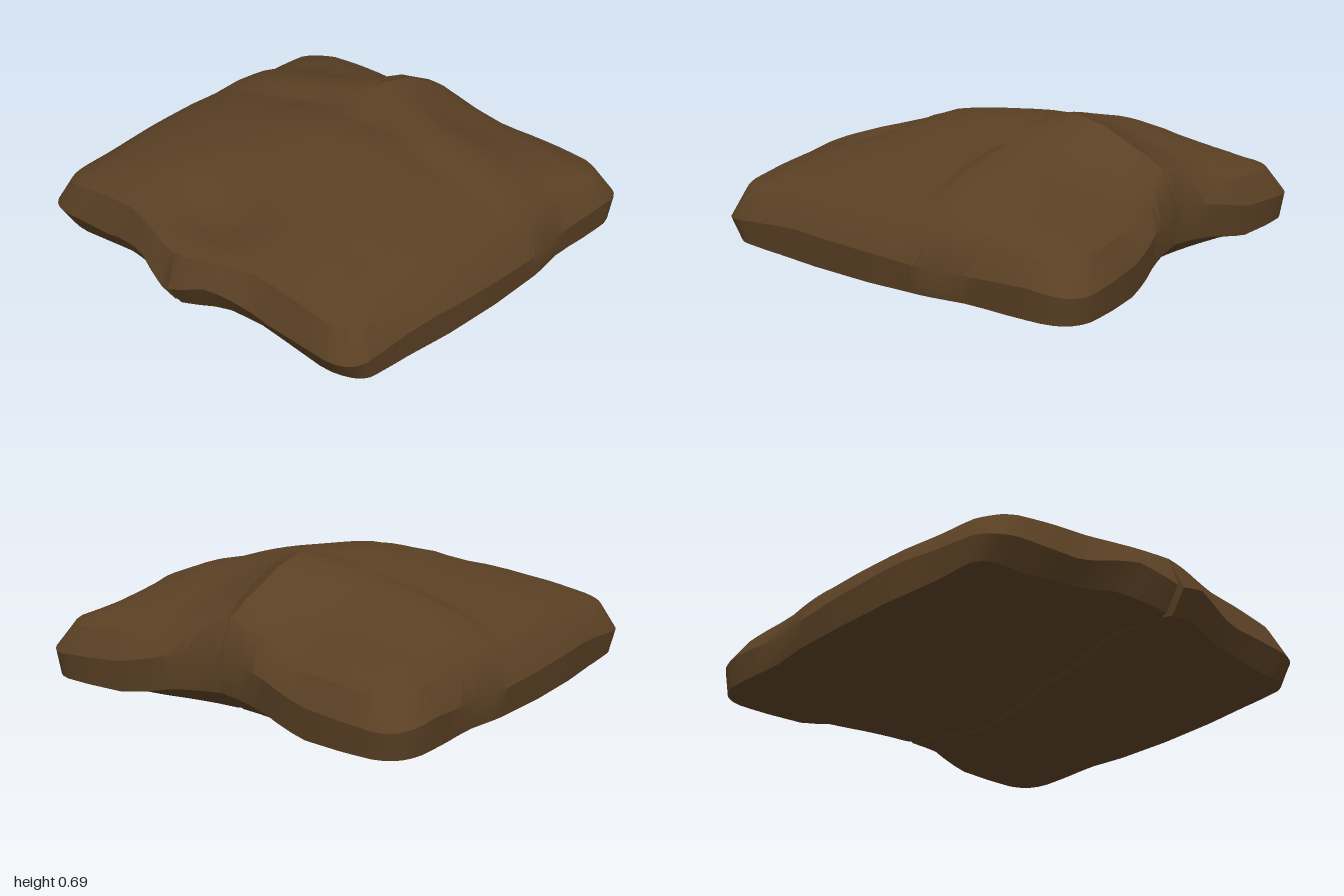
import * as THREE from 'three';
import { toCreasedNormals } from 'three/addons/utils/BufferGeometryUtils.js';

// Piecewise linear curve through [position, value] pairs
function curve(points) {
  return (p) => {
    if (p <= points[0][0]) return points[0][1];
    for (let i = 1; i < points.length; i++) {
      const [a, va] = points[i - 1], [b, vb] = points[i];
      if (p <= b) return va + (vb - va) * (p - a) / (b - a);
    }
    return points[points.length - 1][1];
  };
}
const { smoothstep, lerp } = THREE.MathUtils;
const fade = (d) => smoothstep(1 - d, 0, 1);

// Outline seen from above
const halfWidth = curve([[-1, 0.985], [-0.7, 0.98], [-0.5, 0.965], [-0.3, 0.99], [0, 0.99], [0.3, 0.975], [0.55, 0.945], [0.8, 0.93], [1, 0.93]]);
const frontZ = curve([[0, 1], [0.1, 0.98], [0.2, 0.95], [0.32, 0.915], [0.45, 0.888], [1, 0.885]]);
const backZ = curve([[0, 0.9], [0.12, 0.91], [0.25, 0.935], [0.37, 0.965], [0.5, 0.985], [0.7, 1], [1, 1]]);

// Heights along the middle, along the side edges, and the crown between them
const middle = curve([[-0.9, 0.42], [-0.85, 0.485], [-0.75, 0.56], [-0.55, 0.665], [-0.38, 0.695], [-0.24, 0.66], [-0.16, 0.605], [0, 0.63], [0.1, 0.63], [0.25, 0.615], [0.4, 0.59], [0.6, 0.535], [0.8, 0.455], [0.95, 0.4]]);
const edge = curve([[-1, 0.3], [-0.9, 0.33], [-0.8, 0.35], [-0.4, 0.37], [0.2, 0.37], [0.7, 0.36], [0.85, 0.33]]);
const frontCrown = curve([[0, 1], [0.2, 0.94], [0.4, 0.78], [0.6, 0.62], [0.8, 0.35], [0.87, 0.2], [0.93, 0]]);
const backCrown = curve([[0, 1], [0.1, 0.83], [0.2, 0.66], [0.35, 0.48], [0.6, 0.38], [0.8, 0.24], [0.93, 0]]);

// Rim heights: sides, front and back
const sideMid = curve([[-1, 0.22], [-0.8, 0.25], [-0.4, 0.23], [0, 0.25], [0.4, 0.265], [0.85, 0.23]]);
const sideLow = curve([[-1, 0.11], [-0.85, 0.115], [0, 0.115], [0.6, 0.125], [0.85, 0.14]]);
const frontMid = curve([[0, 0.25], [0.2, 0.315], [0.3, 0.305], [0.5, 0.255], [0.8, 0.24], [1, 0.23]]);
const frontLow = curve([[0, 0.15], [0.25, 0.2], [0.5, 0.165], [0.8, 0.13], [1, 0.14]]);
const backMid = curve([[0, 0.34], [0.25, 0.31], [0.5, 0.25], [1, 0.22]]);
const backLow = curve([[0, 0.18], [0.25, 0.16], [0.5, 0.11], [1, 0.11]]);
const underside = curve([[-1, 0.08], [-0.85, 0.07], [0, 0.075], [0.6, 0.1], [0.85, 0.13]]);
const belly = curve([[-0.75, 0], [-0.55, 0.02], [-0.3, 0.075], [-0.15, 0.075], [0, 0.05], [0.15, 0]]);
const slit = curve([[-0.86, 0], [-0.72, 0.8], [-0.58, 1], [-0.45, 0.7], [-0.33, 0]]);
const fold = curve([[0, 0.02], [0.1, 0.03], [0.2, 0.045], [0.3, 0.03], [0.38, 0]]);

function topHeight(x, z) {
  const ax = Math.abs(x), e = edge(z), across = ax / halfWidth(z);
  // The crown narrows to a peak towards the back
  const crown = lerp(frontCrown(across), backCrown(across), smoothstep(-z, 0.2, 0.65));
  let y = e + (middle(z) - e) * crown;
  // Dimple at the front, pinched fold across the middle, slit at the back
  y -= 0.1 * fade(Math.min(1, Math.hypot(x / 0.42, (z - 0.62) / 0.28)));
  y -= fold(ax) * Math.max(0, 1 - Math.abs(z + 0.195) / 0.045);
  if (ax < 0.003) y -= 0.12 * slit(z);
  return y;
}

function bottomHeight(x, z, s, t) {
  const ax = Math.abs(x), as = Math.abs(s);
  let y = underside(z) - belly(z) * Math.max(0, 1 - ax / 0.6);
  y += 0.07 * fade(Math.min(1, Math.hypot(x / 0.5, (z - 0.6) / 0.35)));
  if (ax < 0.003) y += 0.02;
  // Blend into the lower rim
  y = t > 0
    ? lerp(y, frontLow(as), smoothstep(t, 0.72, 1))
    : lerp(y, backLow(as), smoothstep(-t, 0.8, 1));
  return lerp(y, sideLow(z), smoothstep(as, 0.82, 1));
}

// Grid lines, closer together at the seam, the fold and the rim
const half = [0.02, 0.06, 0.12, 0.2, 0.28, 0.36, 0.44, 0.52, 0.61, 0.7, 0.79, 0.86, 0.91, 0.96, 1];
const columns = [...half.map((v) => -v).reverse(), 0, ...half];
const rows = [-1, -0.96, -0.91, -0.85, -0.78, -0.68, -0.58, -0.48, -0.4, -0.34, -0.285, -0.255, -0.22, -0.195, -0.16, -0.1,
  0, 0.1, 0.2, 0.3, 0.4, 0.48, 0.56, 0.64, 0.72, 0.8, 0.86, 0.92, 0.96, 1];

function cushionGeometry() {
  const nx = columns.length - 1, nz = rows.length - 1, r = 0.17;
  const geometry = new THREE.BoxGeometry(2, 2, 2, nx, 2, nz);
  const pos = geometry.attributes.position;
  for (let i = 0; i < pos.count; i++) {
    const level = Math.round(pos.getY(i));
    const s0 = columns[Math.round((pos.getX(i) + 1) / 2 * nx)];
    const t0 = rows[Math.round((pos.getZ(i) + 1) / 2 * nz)];
    let s = s0, t = t0;
    // Round the four corners
    const ds = Math.abs(s) - (1 - r), dt = Math.abs(t) - (1 - r);
    if (ds > 0 && dt > 0) {
      const k = Math.max(ds, dt) / Math.hypot(ds, dt);
      s = Math.sign(s) * (1 - r + ds * k);
      t = Math.sign(t) * (1 - r + dt * k);
    }
    // Upper and lower faces are inset from the widest line
    const insetX = level > 0 ? 0.93 : level < 0 ? 0.985 : 1;
    const insetZ = level > 0 ? (t > 0 ? 0.94 : 0.93) : level < 0 ? (t > 0 ? 0.93 : 0.985) : 1;
    const as = Math.abs(s);
    // Straighten the rows away from the curved ends
    const end = (t > 0 ? frontZ(as) : backZ(as)) * insetZ;
    let z = t * (1 + (end - 1) * t * t);
    let x = s * halfWidth(z) * insetX, y;
    if (Math.abs(s0) === 0.02 && level > 0) x *= 0.4 + 0.8 * slit(z);
    if (level > 0) y = topHeight(x, z);
    else if (level < 0) y = bottomHeight(x, z, s, t);
    else {
      const rim = t > 0 ? frontMid(as) : backMid(as);
      y = lerp(sideMid(z), rim, smoothstep(Math.abs(t0), 0.85, 1) * (1 - smoothstep(as, 0.8, 1)));
    }
    // Notch where the seam meets the front edge
    if (s0 === 0 && t0 === 1 && level <= 0) z -= 0.06;
    pos.setXYZ(i, x, y, z);
  }
  geometry.deleteAttribute('uv');
  return toCreasedNormals(geometry, 0.6);
}

export function createModel() {
  const group = new THREE.Group();
  group.name = 'cushion';
  const material = new THREE.MeshStandardMaterial({ color: 0x5a4024 });
  const body = new THREE.Mesh(cushionGeometry(), material);
  body.name = 'cushionBody';
  group.add(body);
  return group;
}
